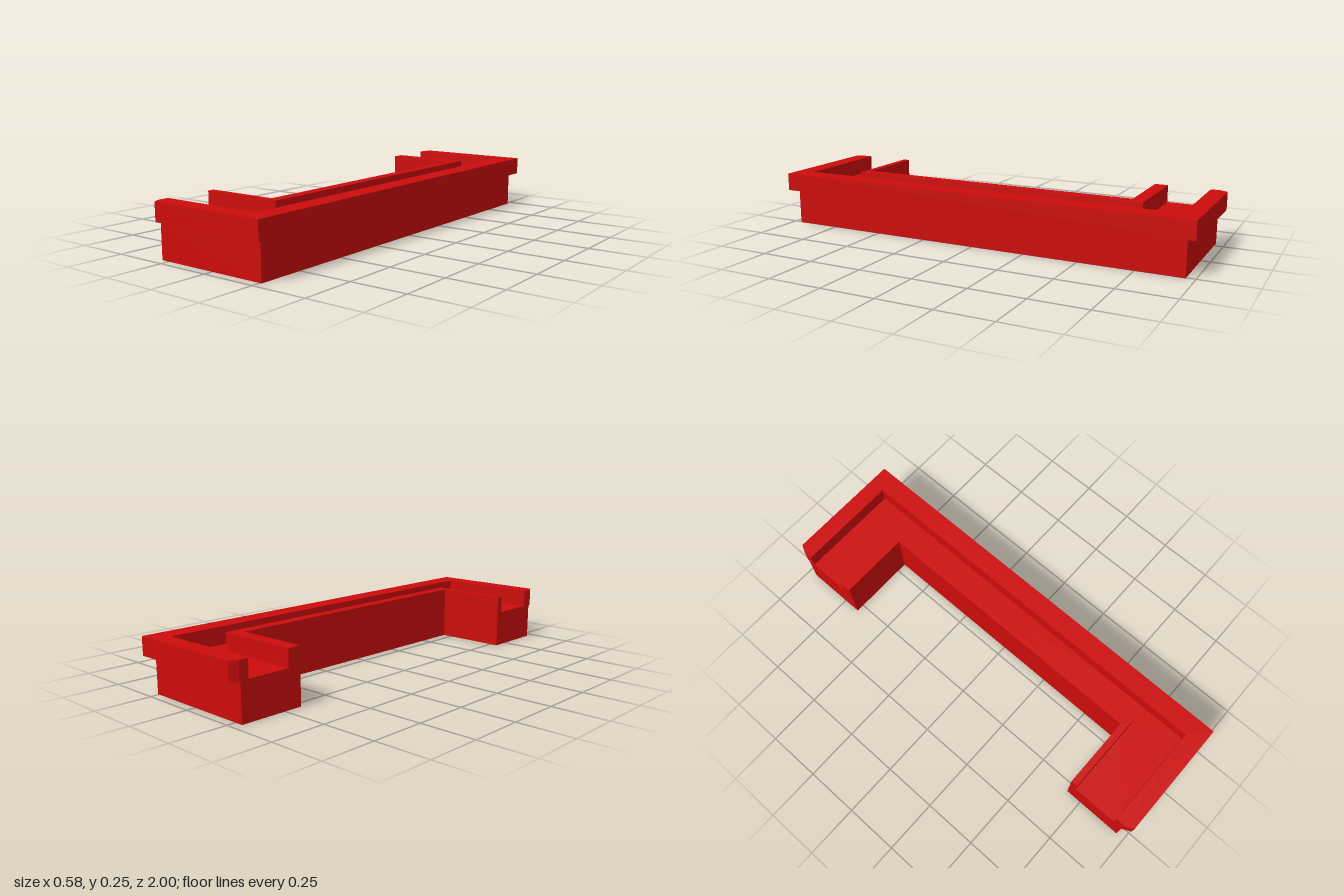
import * as THREE from 'three';

const END = -0.288; // x of the open ends of both arms

// Three-sided footprint, open towards -x, extruded from y0 to y1
function channel(name, material, outer, inner, y0, y1, chamfer = false) {
  const [ox, oBack, oFront] = outer;
  const [ix, iBack, iFront] = inner;
  const tip = (z, s) => (chamfer ? [[END, z - s * 0.035], [END + 0.018, z]] : [[END, z]]);
  const points = [
    ...tip(oFront, 1), [ox, oFront], [ox, oBack], ...tip(oBack, -1).reverse(),
    [END, iBack], [ix, iBack], [ix, iFront], [END, iFront],
  ].map(([x, z]) => new THREE.Vector2(x, -z));
  const geometry = new THREE.ExtrudeGeometry(new THREE.Shape(points), {
    depth: y1 - y0, bevelEnabled: false,
  });
  geometry.rotateX(-Math.PI / 2).translate(0, y0, 0);
  const mesh = new THREE.Mesh(geometry, material);
  mesh.name = name;
  return mesh;
}

export function createModel() {
  const group = new THREE.Group();
  group.name = 'bracketFrame';
  const red = new THREE.MeshStandardMaterial({ color: 0xcc0c0c });

  // Outlines as [x of the long side, back z, front z]
  const baseOuter = [0.258, -0.96, 0.96];
  const rimOuter = [0.288, -1, 1];
  const rimInner = [0.196, -0.922, 0.917];
  const wallOuter = [0.096, -0.728, 0.705];
  const wallInner = [0.046, -0.668, 0.674];

  // Solid base whose top is the groove floor
  group.add(channel('base', red, baseOuter, wallInner, 0, 0.168));
  // Overhanging outer rim with clipped tips
  group.add(channel('outerRim', red, rimOuter, rimInner, 0.165, 0.247, true));
  // Inner wall of the groove
  group.add(channel('innerWall', red, wallOuter, wallInner, 0.168, 0.247));
  return group;
}
